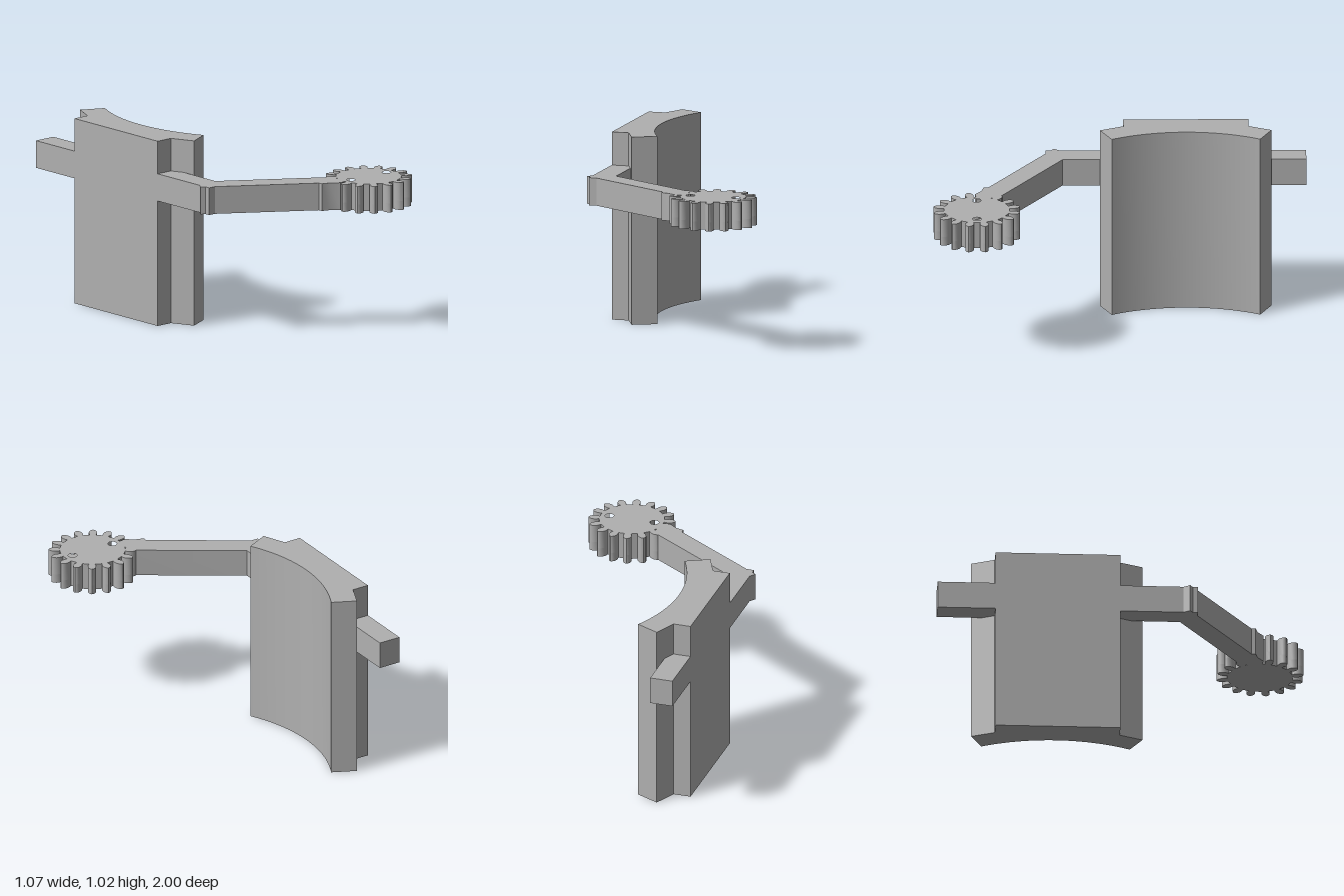
import * as THREE from 'three';
import { toCreasedNormals } from 'three/addons/utils/BufferGeometryUtils.js';

export function createModel() {
  const model = new THREE.Group();
  const grey = new THREE.MeshStandardMaterial({ color: 0xb0b0b0 });
  grey.name = 'plain grey';

  // Raises a plan outline of [x, z] points from y0 to y1, with optional round holes.
  function raise(name, points, y0, y1, holes = []) {
    const shape = new THREE.Shape(points.map(([x, z]) => new THREE.Vector2(x, -z)));
    for (const [x, z, r] of holes) {
      shape.holes.push(new THREE.Path().absarc(x, -z, r, 0, Math.PI * 2, true));
    }
    const extruded = new THREE.ExtrudeGeometry(shape, { depth: y1 - y0, bevelEnabled: false, curveSegments: 12 });
    extruded.rotateX(-Math.PI / 2).translate(0, y0, 0);
    const mesh = new THREE.Mesh(toCreasedNormals(extruded, 0.45), grey);
    mesh.name = name;
    model.add(mesh);
  }

  // Tall panel with a hollow curved face and two angled wings
  const midZ = -0.355, radius = 0.855, arcX = 0.522;
  const half = Math.asin(0.3975 / radius);
  const panel = [[-0.51, -0.02], [-0.51, -0.69], [-0.415, -0.69], [-0.36, -0.813]];
  for (let i = 0; i <= 32; i++) {
    const a = -half + (2 * half * i) / 32;
    panel.push([arcX - radius * Math.cos(a), midZ + radius * Math.sin(a)]);
  }
  panel.push([-0.36, 0.105], [-0.415, -0.02]);
  raise('curvedPanel', panel, 0, 1.02);

  // Straight bar behind the panel, and the slanting arm that meets it
  const low = 0.69, high = 0.84;
  raise('bar', [[-0.51, -1], [-0.385, -1], [-0.385, 0.34], [-0.46, 0.395], [-0.51, 0.395]], low, high);
  raise('arm', [
    [-0.533, 0.352], [-0.464, 0.252], [0.11, 0.634], [0.14, 0.65], [0.14, 0.77],
    [0.09, 0.777], [0.045, 0.743], [0, 0.73], [0, 0.707],
  ], low, high);

  // Gear with rounded teeth that narrow at the root, and two blind holes on top
  const gearX = 0.302, gearZ = 0.768, teeth = 16;
  const flank = [[0.175, 0.016], [0.186, 0.02], [0.2, 0.0225], [0.214, 0.0205], [0.225, 0.015], [0.232, 0.008]];
  const tooth = [
    ...flank.map(([r, w]) => [r, -w]),
    [0.235, 0],
    ...flank.slice().reverse(),
  ];
  const gear = [];
  for (let i = 0; i < teeth; i++) {
    const a = ((i + 0.5) / teeth) * Math.PI * 2;
    const c = Math.cos(a), s = Math.sin(a);
    for (const [r, w] of tooth) gear.push([gearX + r * c - w * s, gearZ + r * s + w * c]);
  }
  const floor = 0.74;
  raise('gearBase', gear, low, floor);
  raise('gearTop', gear, floor, high, [-1, 1].map((s) => [gearX + s * 0.127, gearZ, 0.024]));

  return model;
}
